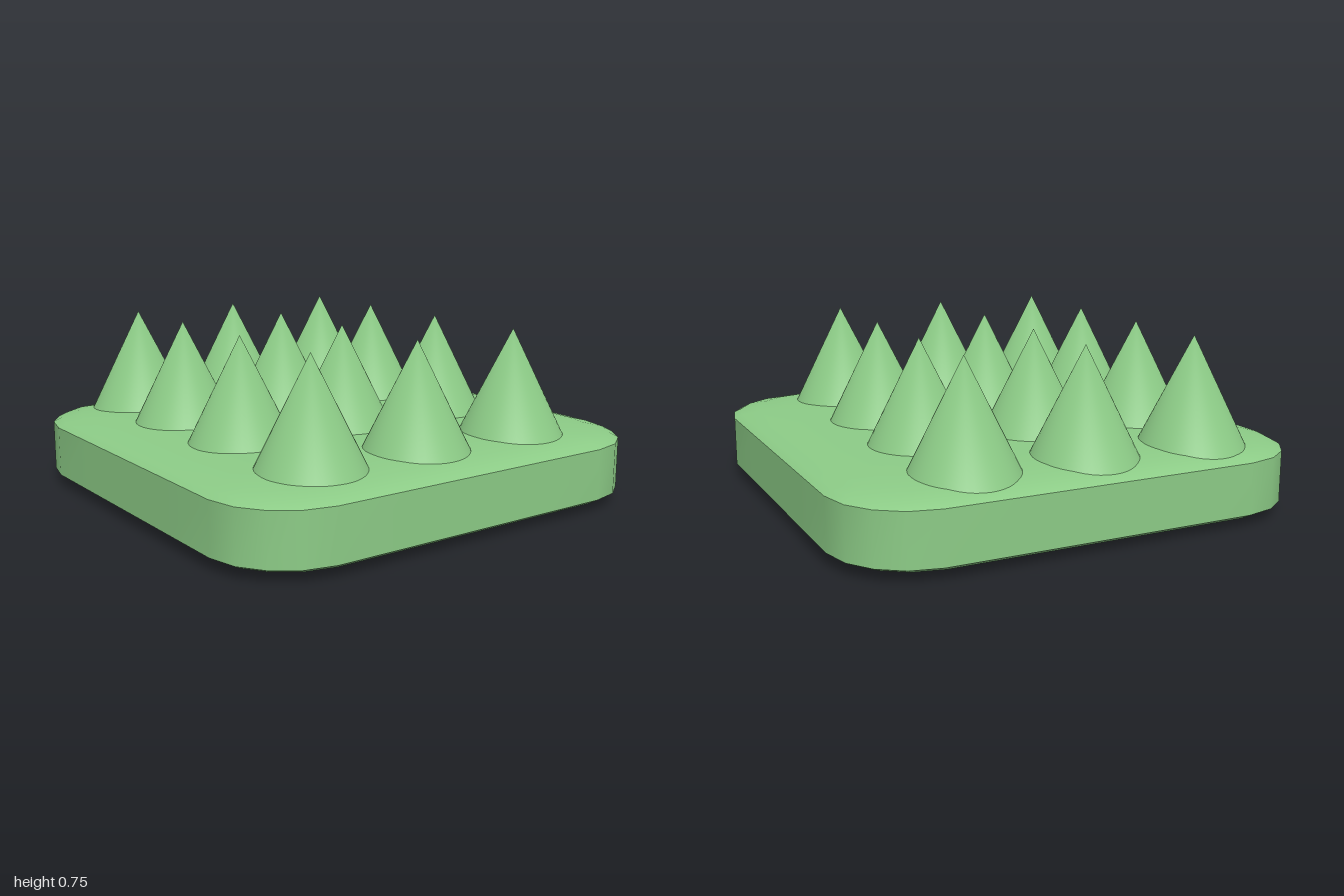
import * as THREE from 'three';
import { mergeVertices } from 'three/addons/utils/BufferGeometryUtils.js';

const material = new THREE.MeshStandardMaterial({ color: 0x8ccb86 });

// One quarter of the rounded-square outline (x, z), repeated by 90 degree turns
const QUARTER = [[1, 0], [1, 0.35], [1, 0.67], [0.97, 0.8], [0.9, 0.9], [0.8, 0.97], [0.67, 1], [0.35, 1]];

function outline() {
  const points = [];
  for (let turn = 0; turn < 4; turn++) {
    for (let [x, z] of QUARTER) {
      for (let k = 0; k < turn; k++) [x, z] = [-z, x];
      points.push([x, z]);
    }
  }
  return points;
}

// Skins a stack of scaled outlines, given bottom to top as [scale, y]
function skin(rings) {
  const loop = outline(), n = loop.length;
  const positions = [], index = [];
  for (const [s, y] of rings) for (const [x, z] of loop) positions.push(x * s, y, z * s);
  for (let r = 0; r < rings.length - 1; r++) {
    for (let i = 0; i < n; i++) {
      const a = r * n + i, b = r * n + (i + 1) % n;
      index.push(a, a + n, b, b, a + n, b + n);
    }
  }
  const geometry = new THREE.BufferGeometry();
  geometry.setAttribute('position', new THREE.Float32BufferAttribute(positions, 3));
  geometry.setIndex(index);
  geometry.computeVertexNormals();
  return geometry;
}

function addMesh(parent, name, geometry) {
  const mesh = new THREE.Mesh(geometry, material);
  mesh.name = name;
  parent.add(mesh);
  return mesh;
}

export function createModel() {
  const model = new THREE.Group();
  model.name = 'spikedTile';

  // Slab: straight wall with gently domed top and bottom, creased at the rims
  const slab = new THREE.Group();
  slab.name = 'slab';
  model.add(slab);
  const mid = 0.161;
  const dome = [[1, 0.109], [0.97, 0.128], [0.9, 0.145], [0.8, 0.155], [0.68, 0.16], [0.35, 0.161], [0, 0.161]];
  addMesh(slab, 'slabWall', skin([[1, mid - 0.109], [1, mid + 0.109]]));
  addMesh(slab, 'slabTop', skin(dome.map(([s, h]) => [s, mid + h])));
  addMesh(slab, 'slabBottom', skin(dome.map(([s, h]) => [s, mid - h]).reverse()));

  // Spikes: cones with one shared tip so the shading runs smoothly over it
  const height = 0.485, foot = 0.27;
  let cone = new THREE.ConeGeometry(0.24, height, 48, 1, true);
  cone.deleteAttribute('normal');
  cone.deleteAttribute('uv');
  cone = mergeVertices(cone);
  cone.computeVertexNormals();

  const spikes = new THREE.Group();
  spikes.name = 'spikes';
  model.add(spikes);
  for (const x of [-0.56, -0.05, 0.47]) {
    for (const z of [-0.73, -0.3, 0.175, 0.675]) {
      addMesh(spikes, 'spike', cone).position.set(x, foot + height / 2, z);
    }
  }
  return model;
}
